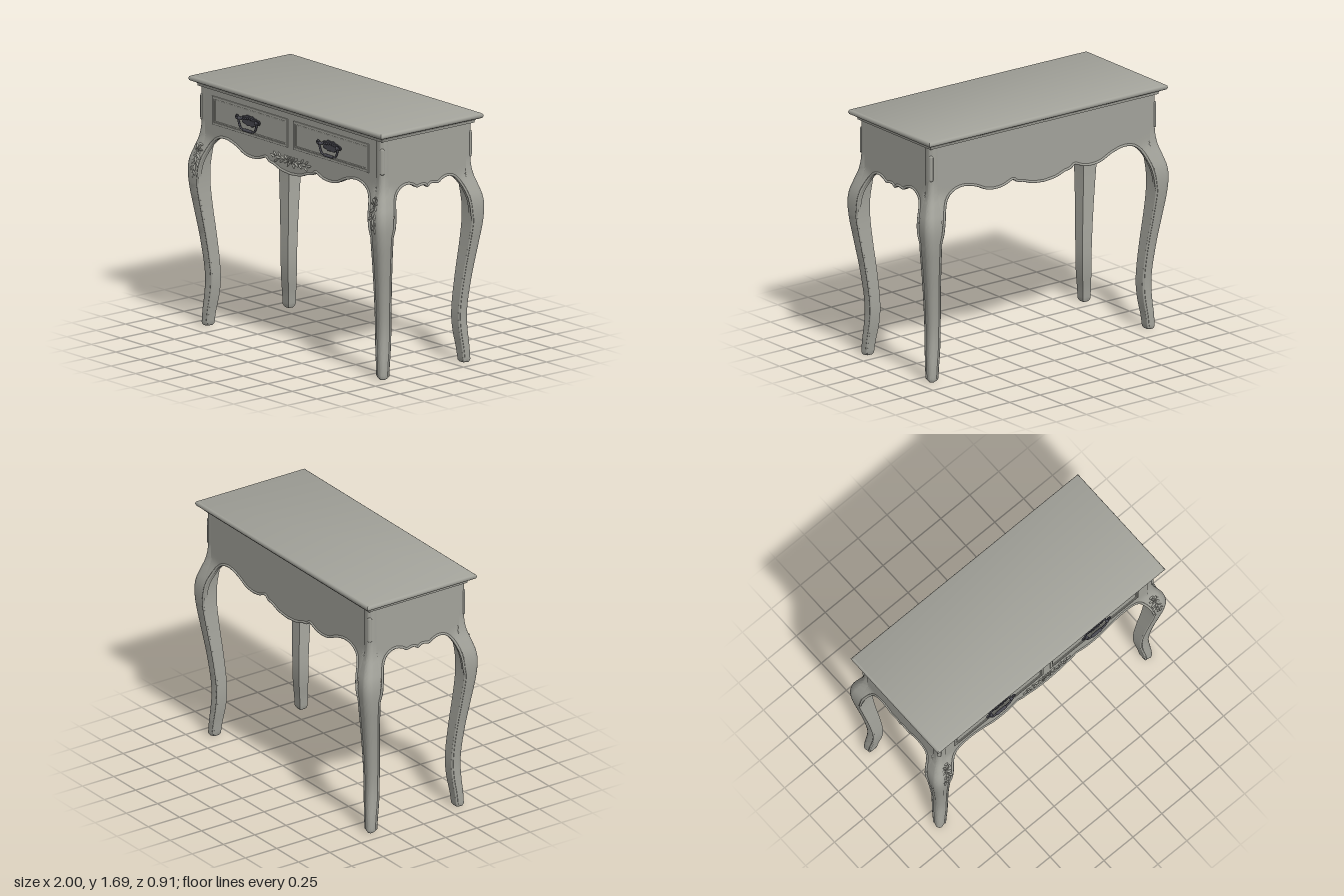
import * as THREE from 'three';
import { toCreasedNormals } from 'three/addons/utils/BufferGeometryUtils.js';

const BODY = 0.385;   // half depth of the case
const SPREAD = 0.545; // extra half width compared with half depth
const TILT = 0.012;   // fall of a leg face towards its inner edge

const wood = new THREE.MeshStandardMaterial({ color: 0xa3a39b });
wood.name = 'grey painted wood';
const iron = new THREE.MeshStandardMaterial({ color: 0x484850 });
iron.name = 'dark iron';

function add(parent, name, geometry, material = wood, x = 0, y = 0, z = 0) {
  const mesh = new THREE.Mesh(geometry, material);
  mesh.name = name;
  mesh.position.set(x, y, z);
  parent.add(mesh);
  return mesh;
}

// Skin over a row of closed rings, with optional flat ends
function loft(rings, crease, caps = true) {
  const n = rings[0].length, pos = [], index = [];
  rings.forEach(r => r.forEach(p => pos.push(...p)));
  for (let i = 0; i < rings.length - 1; i++) {
    for (let j = 0; j < n; j++) {
      const a = i * n + j, b = i * n + (j + 1) % n;
      index.push(a, b, b + n, a, b + n, a + n);
    }
  }
  if (caps) {
    const e = (rings.length - 1) * n;
    for (let j = 1; j < n - 1; j++) index.push(0, j + 1, j, e, e + j, e + j + 1);
  }
  const g = new THREE.BufferGeometry();
  g.setAttribute('position', new THREE.Float32BufferAttribute(pos, 3));
  g.setIndex(index);
  return toCreasedNormals(g, crease);
}

const V = (x, y, z = 0) => new THREE.Vector3(x, y, z);
const spline = pts => new THREE.CatmullRomCurve3(pts);

// Cabriole profile: x = inner edge, y = height, z = outer edge
const legLine = spline([
  [0.316, 0.02, 0.384], [0.308, 0.1, 0.381], [0.294, 0.2, 0.374], [0.287, 0.3, 0.37],
  [0.289, 0.4, 0.374], [0.304, 0.6, 0.396], [0.323, 0.8, 0.426], [0.334, 0.95, 0.448],
  [0.335, 1.06, 0.455], [0.33, 1.13, 0.447], [0.322, 1.2, 0.425], [0.316, 1.28, 0.398],
  [0.312, 1.36, 0.386], [0.31, 1.44, BODY], [0.31, 1.63, BODY],
].map(p => V(...p))).getPoints(70);

function outerAt(y) {
  const i = legLine.findIndex(p => p.y >= y);
  if (i < 0) return BODY;
  if (i === 0) return legLine[0].z;
  const a = legLine[i - 1], b = legLine[i];
  return THREE.MathUtils.lerp(a.z, b.z, (y - a.y) / (b.y - a.y));
}

// Square section with a rounded outer corner
function legRing({ x: a, y, z: b }) {
  const r = (b - a) * 0.42, ring = [[a, y, b - TILT]];
  for (let k = 0; k <= 8; k++) {
    const t = (k / 8) * Math.PI / 2;
    ring.push([b - r + r * Math.sin(t), y, b - r + r * Math.cos(t)]);
  }
  ring.push([b - TILT, y, a], [a, y, a]);
  return ring;
}

// Scalloped rail between two legs, swelling out into them, with its edge bead
function makeApron(half, eu, ev, blend) {
  const group = new THREE.Group();
  const right = spline(half.map(p => V(...p))).getPoints(70);
  const line = [...right.slice(1).reverse().map(p => V(-p.x, p.y)), ...right];
  const end = eu + 0.332;
  const face = (u, y) => {
    const s = THREE.MathUtils.smoothstep(Math.abs(u), end - blend, end);
    return ev + BODY + Math.max(0, outerAt(Math.max(y, 1)) - BODY - TILT * 0.8) * s;
  };
  const rows = 16;
  const rings = line.map(({ x, y: low }) => {
    const front = [];
    for (let i = 0; i <= rows; i++) {
      const y = THREE.MathUtils.lerp(1.63, low, i / rows);
      front.push([x, y, face(x, y)]);
    }
    return [...front, ...front.map(([u, y, v]) => [u, y, v - 0.03]).reverse()];
  });
  add(group, 'apronPanel', loft(rings, 0.6, false));

  const lowest = half[half.length - 1][1];
  const arch = right.map(p => V(p.x, p.y + 0.008, face(p.x, p.y)));
  const down = legLine.filter(p => p.y < lowest - 0.03).reverse()
    .map(p => V(eu + p.x + 0.008, p.y, ev + p.z - TILT));
  const side = [...arch, ...down];
  const path = [...side.slice(1).reverse().map(p => V(-p.x, p.y, p.z)), ...side];
  add(group, 'edgeBead', new THREE.TubeGeometry(spline(path), 300, 0.009, 6));
  return group;
}

// Carved leaves [x, y, length, angle] lying on a front face
function leaf(parent, x, y, z, length, angle) {
  const m = add(parent, 'carvedLeaf', new THREE.SphereGeometry(1, 10, 6), wood, x, y, z);
  m.scale.set(length, length * 0.38, 0.009);
  m.rotation.z = angle;
}

function flower(parent, x, y, z, r) {
  for (let k = 0; k < 6; k++) {
    const t = k * Math.PI / 3;
    leaf(parent, x + r * 0.62 * Math.cos(t), y + r * 0.62 * Math.sin(t), z, r * 0.5, t);
  }
  add(parent, 'flowerHeart', new THREE.TorusGeometry(r * 0.32, r * 0.13, 6, 12), wood, x, y, z + 0.007);
}

function makeHandle() {
  const h = new THREE.Group();
  h.name = 'drawerHandle';
  const plate = new THREE.Shape();
  for (let i = 0; i < 72; i++) {
    const t = i / 72 * Math.PI * 2, k = 1 + 0.08 * Math.cos(10 * t);
    plate[i ? 'lineTo' : 'moveTo'](0.083 * k * Math.cos(t), 0.034 * k * Math.sin(t));
  }
  add(h, 'backPlate', new THREE.ExtrudeGeometry(plate, {
    depth: 0.004, bevelThickness: 0.002, bevelSize: 0.002, bevelSegments: 1 }), iron, 0, 0.005, 0.002);
  for (let i = -3; i <= 3; i++) {
    add(h, 'plateBoss', new THREE.SphereGeometry(0.008, 8, 6), iron, i * 0.019, 0.022 - Math.abs(i) * 0.003, 0.008);
  }
  const bail = spline([[-0.098, 0.012], [-0.086, -0.022], [-0.07, -0.05], [-0.035, -0.06], [0, -0.062],
    [0.035, -0.06], [0.07, -0.05], [0.086, -0.022], [0.098, 0.012]].map(([x, y]) => V(x, y, 0.024)));
  add(h, 'bail', new THREE.TubeGeometry(bail, 40, 0.007, 8), iron);
  add(h, 'bailGrip', new THREE.CapsuleGeometry(0.011, 0.07, 4, 10).rotateZ(Math.PI / 2), iron, 0, -0.058, 0.024);
  for (const s of [-1, 1]) {
    add(h, 'post', new THREE.CylinderGeometry(0.008, 0.01, 0.03, 10).rotateX(Math.PI / 2), iron, s * 0.085, 0.01, 0.014);
    add(h, 'knob', new THREE.SphereGeometry(0.013, 10, 8), iron, s * 0.088, 0.012, 0.026);
    add(h, 'curl', new THREE.TorusGeometry(0.012, 0.006, 6, 14), iron, s * 0.108, 0.016, 0.022);
  }
  return h;
}

function frame(w, h, t, depth) {
  const s = new THREE.Shape([[-w, -h], [w, -h], [w, h], [-w, h]].map(([x, y]) => new THREE.Vector2(x, y)));
  const a = w - t, b = h - t;
  s.holes.push(new THREE.Path([[-a, -b], [-a, b], [a, b], [a, -b]].map(([x, y]) => new THREE.Vector2(x, y))));
  return new THREE.ExtrudeGeometry(s, { depth, bevelThickness: 0.003, bevelSize: 0.003, bevelSegments: 2 });
}

export function createModel() {
  const table = new THREE.Group();
  table.name = 'consoleTable';

  // Moulded top
  const topRings = [[0.38, 1.615], [0.394, 1.62], [0.394, 1.632], [0.404, 1.645], [0.424, 1.65], [0.433, 1.655],
    [0.438, 1.667], [0.434, 1.68], [0.425, 1.686]].map(([z, y]) => {
    const x = z + SPREAD;
    return [[-x, y, z], [x, y, z], [x, y, -z], [-x, y, -z]];
  });
  add(table, 'tableTop', loft(topRings, 0.7));

  // Inside of the case
  add(table, 'caseBottom', new THREE.BoxGeometry(1.82, 0.012, 0.73), wood, 0, 1.386, 0);
  add(table, 'centreRunner', new THREE.BoxGeometry(0.03, 0.06, 0.73), wood, 0, 1.352, 0);

  // Legs, each with a raised reed on the case corner
  const foot = [V(0.326, 0, 0.374), V(0.317, 0.012, 0.383)];
  const legGeo = loft([...foot, ...legLine].map(legRing), 0.6);
  const reedGeo = new THREE.CapsuleGeometry(0.015, 0.15, 4, 12).scale(1, 1, 0.6);
  [1, 1, -1, -1].forEach((sx, k) => {
    const leg = new THREE.Group();
    leg.name = 'leg';
    leg.position.x = sx * SPREAD;
    leg.rotation.y = [0, 1, 2, 3][k] * Math.PI / 2;
    add(leg, 'cabrioleLeg', legGeo);
    add(leg, 'cornerReed', reedGeo, wood, 0.376, 1.48, 0.376).rotation.y = Math.PI / 4;
    table.add(leg);
  });

  // Aprons on all four sides
  const longEdge = [[0, 1.205], [0.1, 1.216], [0.17, 1.24], [0.22, 1.25], [0.25, 1.272], [0.28, 1.264], [0.33, 1.245],
    [0.4, 1.238], [0.47, 1.248], [0.56, 1.288], [0.66, 1.31], [0.74, 1.296], [0.8, 1.25], [0.838, 1.18],
    [0.862, 1.1], [0.876, 1.02]];
  const shortEdge = [[0, 1.25], [0.025, 1.268], [0.055, 1.268], [0.09, 1.262], [0.12, 1.28], [0.165, 1.294],
    [0.21, 1.288], [0.25, 1.262], [0.285, 1.215], [0.312, 1.14], [0.33, 1.02]];
  for (let k = 0; k < 4; k++) {
    const apron = k % 2 ? makeApron(shortEdge, 0, SPREAD, 0.1) : makeApron(longEdge, SPREAD, 0, 0.14);
    apron.name = ['frontApron', 'leftApron', 'backApron', 'rightApron'][k];
    apron.rotation.y = k * Math.PI / 2;
    table.add(apron);
  }

  // Drawers and carving on both halves of the front
  for (const s of [-1, 1]) {
    const x = s * 0.413;
    add(table, 'drawerFrame', frame(0.381, 0.094, 0.012, 0.004), wood, x, 1.481, BODY);
    add(table, 'drawerBead', frame(0.364, 0.077, 0.004, 0.001), wood, x, 1.481, BODY);
    const handle = makeHandle();
    handle.position.set(x, 1.48, BODY);
    table.add(handle);

    const spray = new THREE.Group();
    spray.name = 'apronCarving';
    const sprayLeaves = [[0.05, 1.315, 0.022, 0.6], [0.055, 1.285, 0.024, -0.5], [0.085, 1.305, 0.022, 0.3],
      [0.095, 1.28, 0.02, -0.6], [0.115, 1.32, 0.02, 0.9], [0.13, 1.298, 0.024, 0.1], [0.15, 1.275, 0.02, -0.5],
      [0.16, 1.318, 0.02, 0.7], [0.185, 1.3, 0.022, 0.3], [0.025, 1.272, 0.02, -0.9]];
    for (const [lx, ly, len, t] of sprayLeaves) leaf(spray, s * lx, ly, BODY, len, s * t);
    flower(spray, s * 0.02, 1.305, BODY, 0.026);
    table.add(spray);

    const drop = new THREE.Group();
    drop.name = 'legCarving';
    const onLeg = y => outerAt(y) - 0.006;
    const dropLeaves = [[0.885, 1.155, 0.026, 0.7], [0.925, 1.165, 0.024, 2.2], [0.905, 1.13, 0.026, 1.5],
      [0.88, 1.105, 0.022, 0.8], [0.93, 1.115, 0.024, 2.1], [0.908, 1.08, 0.026, 1.6], [0.938, 1.07, 0.02, 2],
      [0.93, 1.03, 0.026, 1.7], [0.912, 1.045, 0.02, 1.2], [0.888, 1.235, 0.018, 0.3]];
    for (const [lx, ly, len, t] of dropLeaves) leaf(drop, s * lx, ly, onLeg(ly), len, s * t);
    flower(drop, s * 0.9, 1.2, onLeg(1.2), 0.036);
    table.add(drop);
  }
  return table;
}
